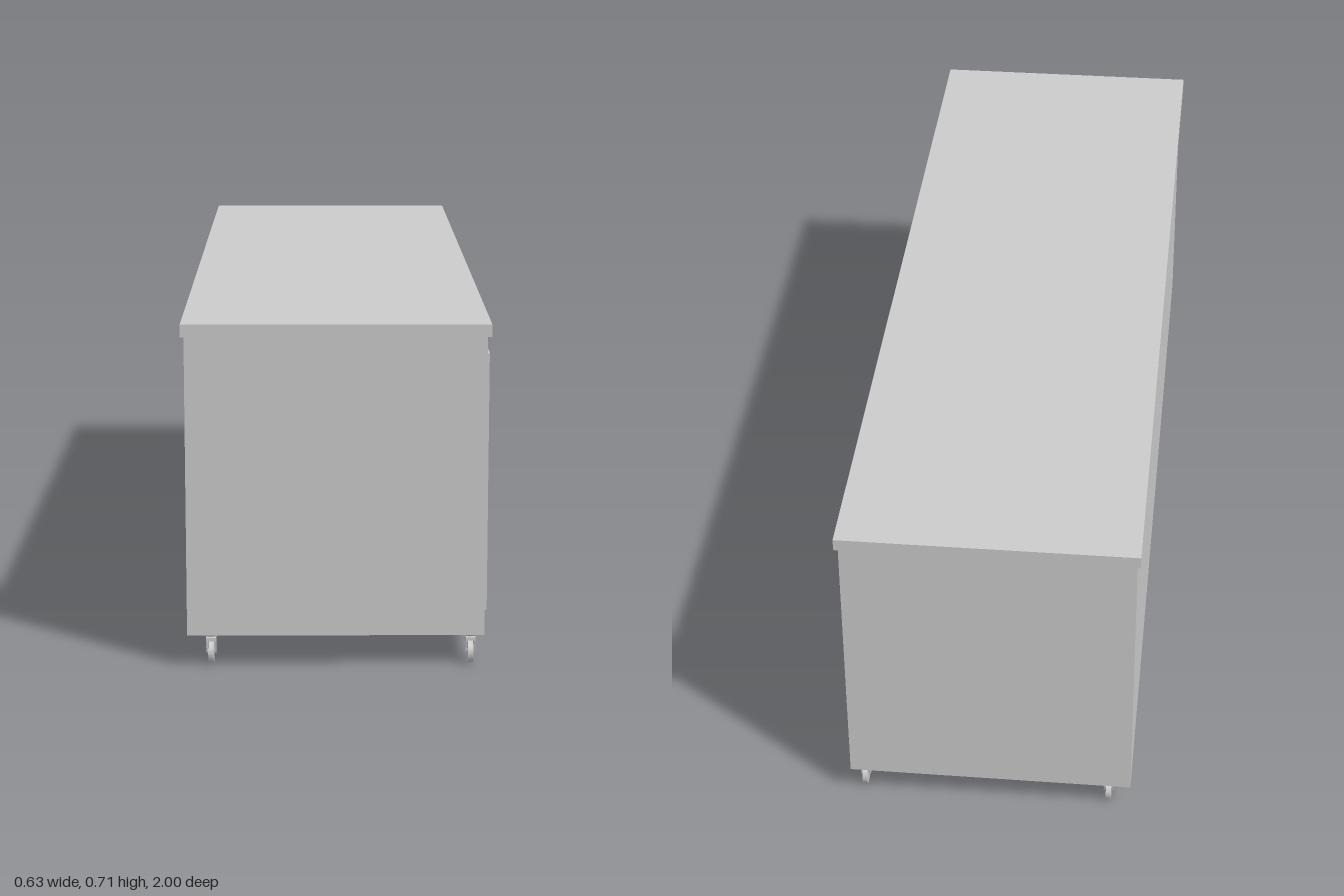
import * as THREE from 'three';

const material = new THREE.MeshStandardMaterial({ color: 0xcccccc });

function add(parent, name, geometry, x = 0, y = 0, z = 0) {
  const mesh = new THREE.Mesh(geometry, material);
  mesh.name = name;
  mesh.position.set(x, y, z);
  parent.add(mesh);
  return mesh;
}

// Box given by its limits on each axis
function addBox(parent, name, [x0, x1], [y0, y1], [z0, z1]) {
  return add(parent, name, new THREE.BoxGeometry(x1 - x0, y1 - y0, z1 - z0),
    (x0 + x1) / 2, (y0 + y1) / 2, (z0 + z1) / 2);
}

// Bar handle on two short posts, standing off the door face
function createHandle() {
  const handle = new THREE.Group();
  handle.name = 'handle';
  add(handle, 'handleBar', new THREE.CylinderGeometry(0.0018, 0.0018, 0.06, 12), 0.01);
  for (const y of [-0.025, 0.025]) {
    const post = add(handle, 'handlePost', new THREE.CylinderGeometry(0.0012, 0.0012, 0.011, 10), 0.0045, y);
    post.rotation.z = Math.PI / 2;
  }
  return handle;
}

// Swivel caster: mounting disc, fork and wheel, rolling along z
function createCaster() {
  const caster = new THREE.Group();
  caster.name = 'caster';
  add(caster, 'mountingDisc', new THREE.CylinderGeometry(0.021, 0.018, 0.005, 24), 0, 0.0625);
  add(caster, 'swivel', new THREE.CylinderGeometry(0.01, 0.01, 0.006, 20), 0, 0.058);
  addBox(caster, 'forkTop', [-0.01, 0.01], [0.05, 0.057], [-0.017, 0.017]);

  // Fork cheek profile, tapering to a rounded end at the axle
  const cheek = new THREE.Shape();
  cheek.moveTo(-0.017, 0.056);
  cheek.lineTo(-0.01, 0.024);
  cheek.absarc(0, 0.0295, 0.0095, Math.PI * 1.15, Math.PI * 1.85, false);
  cheek.lineTo(0.017, 0.056);
  const cheekGeometry = new THREE.ExtrudeGeometry(cheek, { depth: 0.003, bevelEnabled: false, curveSegments: 10 });
  cheekGeometry.translate(0, 0, -0.0015).rotateY(Math.PI / 2);
  for (const side of [-1, 1]) add(caster, 'forkCheek', cheekGeometry, side * 0.0085);

  const wheel = add(caster, 'wheel', new THREE.CylinderGeometry(0.024, 0.024, 0.011, 32), 0, 0.024);
  wheel.rotation.z = Math.PI / 2;
  const axle = add(caster, 'axle', new THREE.CylinderGeometry(0.003, 0.003, 0.021, 12), 0, 0.026);
  axle.rotation.z = Math.PI / 2;
  return caster;
}

export function createModel() {
  const model = new THREE.Group();
  model.name = 'rollingCabinet';

  // Carcass and overhanging worktop
  addBox(model, 'cabinetBody', [-0.31, 0.297], [0.066, 0.685], [-0.992, 0.995]);
  addBox(model, 'worktop', [-0.317, 0.305], [0.684, 0.71], [-1, 1]);

  // Two pairs of doors on the long +x side, one handle per pair
  for (const [zMin, zMax] of [[0.036, 0.953], [-0.957, -0.04]]) {
    const pair = new THREE.Group();
    pair.name = 'doorPair';
    const split = (zMin + zMax) / 2;
    const gap = 0.002;
    addBox(pair, 'door', [0.296, 0.304], [0.107, 0.643], [zMin, split - gap]);
    addBox(pair, 'door', [0.296, 0.304], [0.107, 0.643], [split + gap, zMax]);
    const handle = createHandle();
    handle.position.set(0.304, 0.408, split - 0.026);
    pair.add(handle);
    model.add(pair);
  }

  // Casters under the four corners
  for (const x of [-0.262, 0.27]) {
    for (const z of [-0.953, 0.965]) {
      const caster = createCaster();
      caster.position.set(x, 0, z);
      model.add(caster);
    }
  }
  return model;
}
